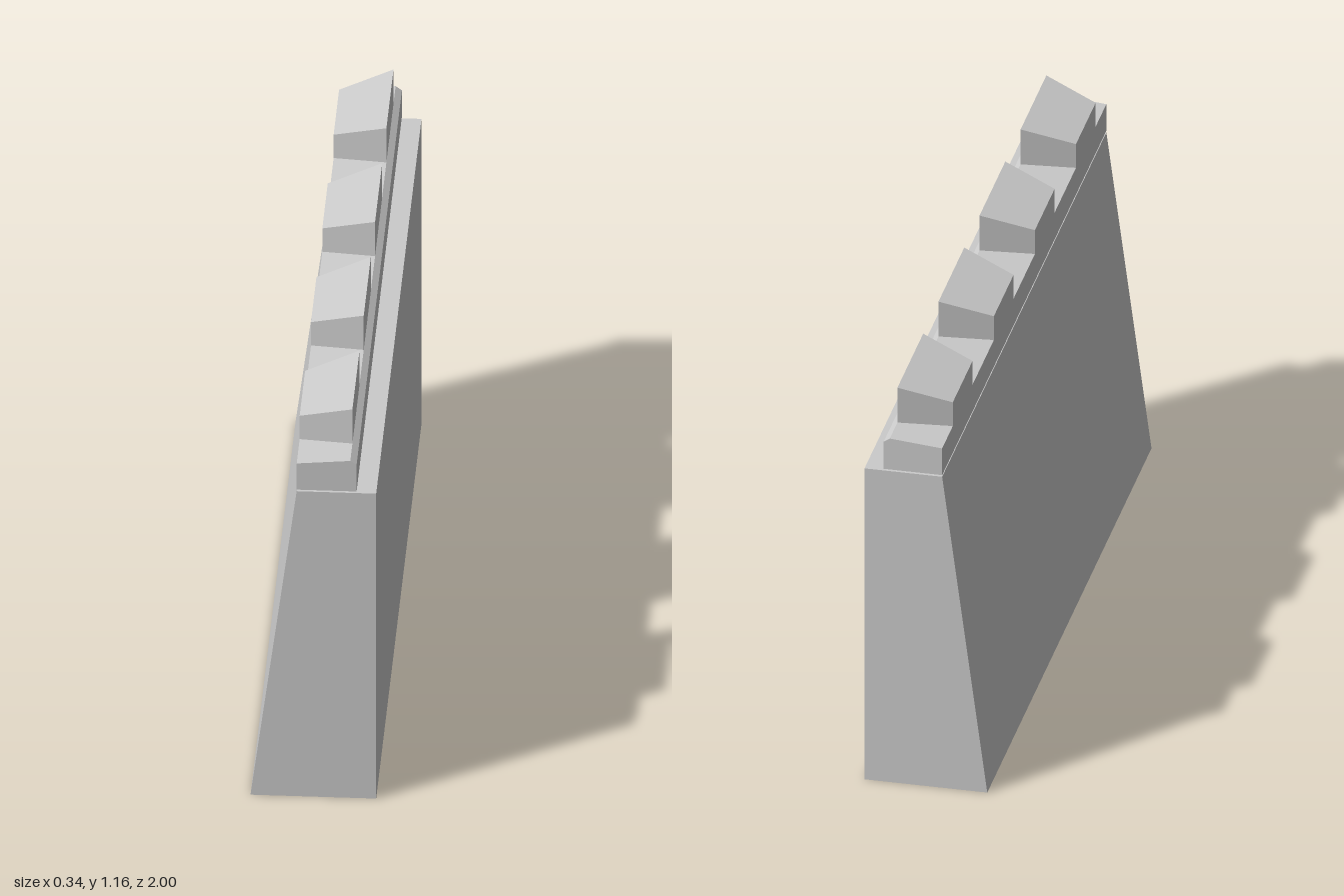
import * as THREE from 'three';

const material = new THREE.MeshStandardMaterial({ color: 0xcccccc, flatShading: true, side: THREE.DoubleSide });

// Four-sided block with an open underside. Each level gives the section's
// left/right x, the height at each, and the half length in z at each.
function taperedBlock(bottom, top) {
  const ring = ({ x, y, z }) => [
    [x[1], y[1], z[1]], [x[1], y[1], -z[1]],
    [x[0], y[0], -z[0]], [x[0], y[0], z[0]],
  ];
  const lo = ring(bottom), hi = ring(top), positions = [];
  const quad = (a, b, c, d) => positions.push(...a, ...b, ...c, ...a, ...c, ...d);
  for (let i = 0; i < 4; i++) {
    const j = (i + 1) % 4;
    quad(lo[i], lo[j], hi[j], hi[i]);
  }
  quad(...hi);
  const geometry = new THREE.BufferGeometry();
  geometry.setAttribute('position', new THREE.Float32BufferAttribute(positions, 3));
  geometry.computeVertexNormals();
  return geometry;
}

export function createModel() {
  const group = new THREE.Group();
  const add = (name, geometry, z = 0) => {
    const mesh = new THREE.Mesh(geometry, material);
    mesh.name = name;
    mesh.position.z = z;
    group.add(mesh);
  };

  // Hollow wall with one battered face and one upright face
  add('wall', taperedBlock(
    { x: [-0.17, 0.17], y: [0, 0], z: [1, 1] },
    { x: [-0.045, 0.17], y: [0.955, 0.955], z: [1, 1] },
  ));

  // Parapet course with a sloping top and a chamfered edge
  const profile = new THREE.Shape([
    [-0.045, 0.96], [0.117, 0.96], [0.117, 1.043], [0.1, 1.055], [-0.045, 1.042],
  ].map(([x, y]) => new THREE.Vector2(x, y)));
  add('parapet', new THREE.ExtrudeGeometry(profile, { depth: 2, bevelEnabled: false }), -1);

  // Wedge-shaped merlons, wider and taller on the upright side
  const merlon = taperedBlock(
    { x: [-0.045, 0.1], y: [1.042, 1.055], z: [0.12, 0.157] },
    { x: [-0.045, 0.1], y: [1.115, 1.162], z: [0.12, 0.157] },
  );
  for (let i = 0; i < 4; i++) add(`merlon${i + 1}`, merlon, -0.75 + i * 0.5);

  return group;
}
